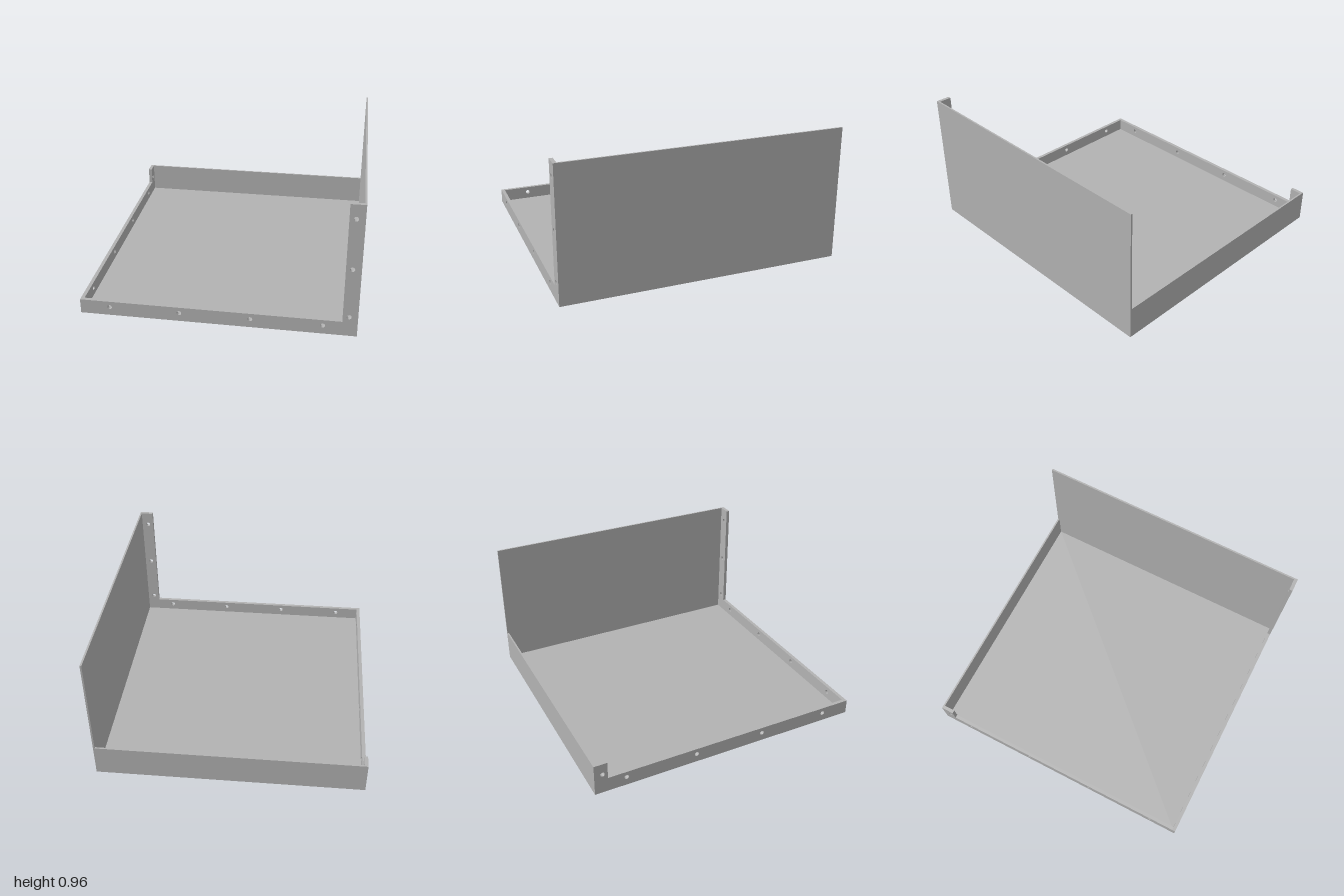
import * as THREE from 'three';

const W = 0.935, D = 1, H = 0.96;        // half width, half depth, full height
const SHEET = 0.012, FLANGE = 0.025;     // wall and flange thicknesses
const LIP = 0.105, BACK = 0.23;          // low flange height, back wall height

export function createModel() {
  const group = new THREE.Group();
  const grey = new THREE.MeshStandardMaterial({ color: 0xb2b2b2 });
  grey.name = 'plain grey';

  const add = (name, geometry) => {
    const mesh = new THREE.Mesh(geometry, grey);
    mesh.name = name;
    group.add(mesh);
    return mesh;
  };

  // Box given by its two extreme corners
  const box = (name, x0, x1, y0, y1, z0, z1) =>
    add(name, new THREE.BoxGeometry(x1 - x0, y1 - y0, z1 - z0))
      .position.set((x0 + x1) / 2, (y0 + y1) / 2, (z0 + z1) / 2);

  // L-shaped flange: low lip from a to b, upright of the given width and height at b
  const flange = (name, a, b, width, height, holes) => {
    const shape = new THREE.Shape([
      [a, 0], [b, 0], [b, height], [b - width, height], [b - width, LIP], [a, LIP],
    ].map(([x, y]) => new THREE.Vector2(x, y)));
    for (const [x, y] of holes) {
      shape.holes.push(new THREE.Path().absarc(x, y, 0.016, 0, Math.PI * 2, true));
    }
    return add(name, new THREE.ExtrudeGeometry(shape,
      { depth: FLANGE, bevelEnabled: false, curveSegments: 12 }));
  };

  // Thin sheets
  box('floor', -W + FLANGE, W - SHEET, 0, SHEET, -D + SHEET, D - FLANGE);
  box('tallSideWall', W - SHEET, W, 0, H, -D, D - FLANGE);
  box('backWall', -W + FLANGE, W - SHEET, 0, BACK, -D, -D + SHEET);

  // Front flange with its tall upright and bolt holes
  flange('frontFlange', -W, W, 0.1, H, [
    ...[-0.73, -0.25, 0.23, 0.71].map((x) => [x, 0.063]),
    ...[0.145, 0.503, 0.86].map((y) => [0.877, y]),
  ]).position.z = D - FLANGE;

  // Side flange, turned so that its short upright meets the back wall
  const side = flange('sideFlange', -D + FLANGE, D, 0.095, BACK, [
    ...[-0.785, -0.265, 0.255, 0.775].map((x) => [x, 0.063]),
    [0.942, 0.147],
  ]);
  side.rotation.y = Math.PI / 2;
  side.position.x = -W;

  return group;
}
